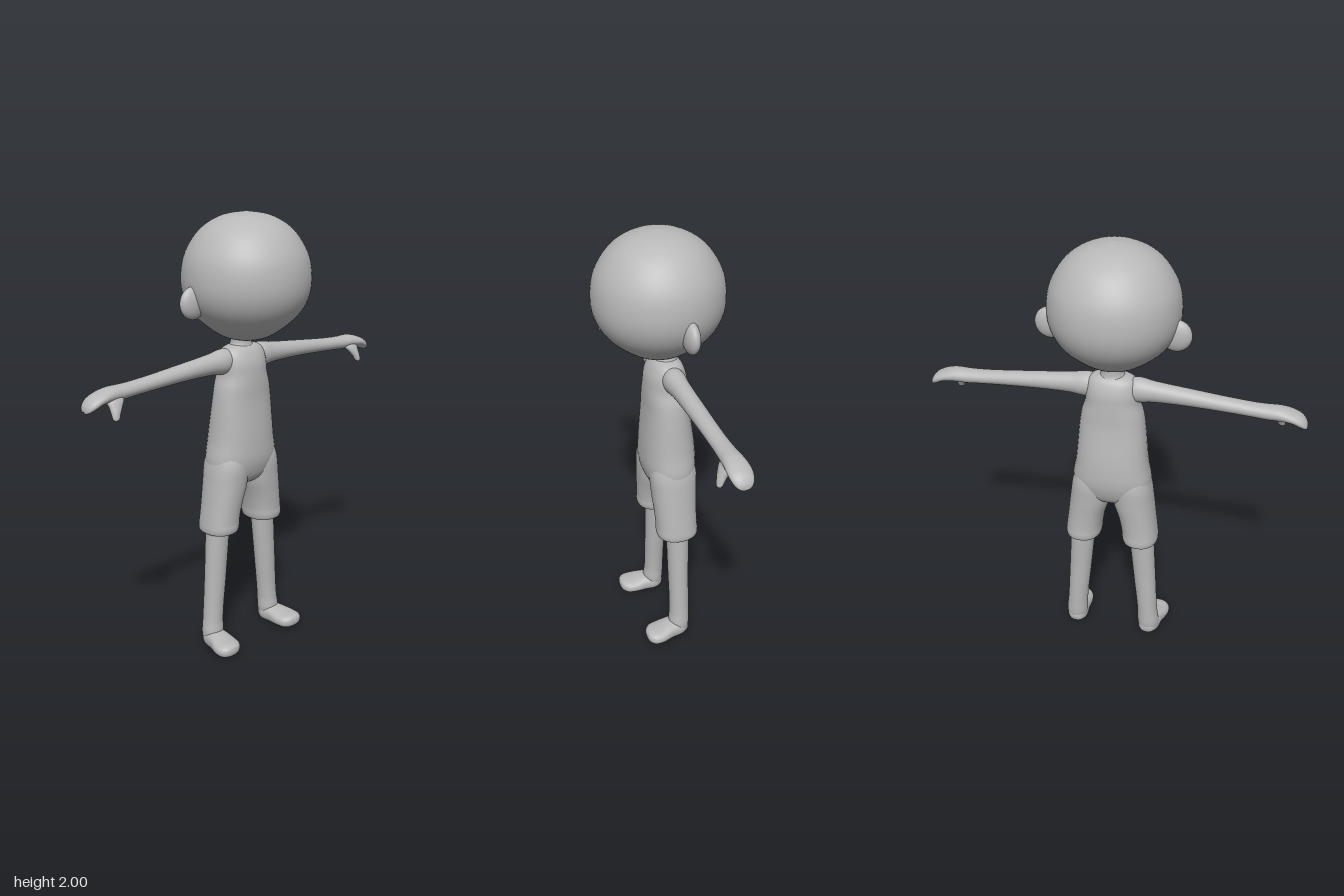
import * as THREE from 'three';

const clay = new THREE.MeshStandardMaterial({ color: 0xb8b8b8 });
clay.name = 'grey clay';

// Smooth closed loft along an axis (0 = x, 1 = y, 2 = z).
// Sections, in increasing axis order: [x, y, z, radius on next axis, radius on the one after].
function loft(axis, sections, { side = 1, power = 2, floor = -1, steps = 6, seg = 32 } = {}) {
  const times = [0];
  for (let i = 1; i < sections.length; i++) {
    times.push(times[i - 1] + Math.hypot(...sections[i].map((v, k) => v - sections[i - 1][k])));
  }
  const curve = new THREE.CubicInterpolant(times, sections.flat(), 5);
  const u = (axis + 1) % 3, v = (axis + 2) % 3;
  const bulge = (c) => Math.sign(c) * Math.abs(c) ** (2 / power);
  const pos = [], index = [], rings = (sections.length - 1) * steps;
  for (let i = 0; i <= rings; i++) {
    const k = Math.min(Math.floor(i / steps), sections.length - 2);
    const s = Array.from(curve.evaluate(THREE.MathUtils.lerp(times[k], times[k + 1], i / steps - k)));
    for (let j = 0; j < seg; j++) {
      const a = (j / seg) * Math.PI * 2, p = s.slice(0, 3);
      p[u] += Math.max(s[3], 0.0005) * bulge(Math.cos(a));
      p[v] += Math.max(s[4], 0.0005) * bulge(Math.sin(a));
      pos.push(p[0] * side, Math.max(p[1], floor), p[2]);
      if (i === rings) continue;
      const A = i * seg + j, B = i * seg + (j + 1) % seg, C = A + seg, D = B + seg;
      if (side > 0) index.push(A, B, C, B, D, C);
      else index.push(A, C, B, B, C, D);
    }
  }
  const g = new THREE.BufferGeometry();
  g.setAttribute('position', new THREE.Float32BufferAttribute(pos, 3));
  g.setIndex(index);
  g.computeVertexNormals();
  return g;
}

export function createModel() {
  const model = new THREE.Group();
  model.name = 'figure';
  const add = (name, geometry, parent = model) => {
    const mesh = new THREE.Mesh(geometry, clay);
    mesh.name = name;
    parent.add(mesh);
    return mesh;
  };

  // Round head, slightly flattened towards the chin
  const profile = new THREE.SplineCurve([
    [0, 1.45], [0.06, 1.457], [0.13, 1.485], [0.222, 1.56], [0.27, 1.64], [0.282, 1.73],
    [0.262, 1.83], [0.198, 1.925], [0.105, 1.982], [0, 2],
  ].map(([r, y]) => new THREE.Vector2(r, y))).getPoints(48);
  profile.forEach((p) => { p.x = Math.max(p.x, 0); });
  add('head', new THREE.LatheGeometry(profile, 64));

  add('neck', loft(1, [
    [0, 1.37, -0.035, 0.06, 0.085], [0, 1.41, -0.035, 0.054, 0.07],
    [0, 1.435, -0.035, 0.045, 0.05], [0, 1.49, -0.035, 0.045, 0.052],
  ]));

  // Torso, running down into the hips
  add('torso', loft(1, [
    [0, 0.775, -0.037, 0, 0], [0, 0.79, -0.037, 0.055, 0.09], [0, 0.83, -0.037, 0.095, 0.165],
    [0, 0.9, -0.038, 0.116, 0.18], [0, 1.0, -0.038, 0.117, 0.165], [0, 1.2, -0.031, 0.097, 0.145],
    [0, 1.25, -0.03, 0.095, 0.136], [0, 1.3, -0.03, 0.092, 0.121], [0, 1.36, -0.031, 0.085, 0.117],
    [0, 1.405, -0.033, 0.066, 0.105], [0, 1.425, -0.034, 0.045, 0.075], [0, 1.43, -0.034, 0, 0],
  ], { power: 2.3 }));

  for (const side of [1, -1]) {
    const prefix = side > 0 ? 'left' : 'right';
    const limb = (name, axis, sections, options) => add(prefix + name, loft(axis, sections, { side, ...options }));

    // Ear
    const ear = add(prefix + 'Ear', new THREE.SphereGeometry(1, 32, 20));
    ear.scale.set(0.068, 0.07, 0.033);
    ear.position.set(0.267 * side, 1.638, -0.038);

    // Arm and hand in one sweep
    limb('Arm', 0, [
      [0.04, 1.365, -0.032, 0.04, 0.04], [0.11, 1.364, -0.032, 0.056, 0.05],
      [0.18, 1.362, -0.032, 0.047, 0.044], [0.33, 1.354, -0.032, 0.038, 0.04],
      [0.6, 1.335, -0.032, 0.031, 0.038], [0.66, 1.332, -0.032, 0.032, 0.041],
      [0.72, 1.332, -0.031, 0.031, 0.046], [0.77, 1.324, -0.03, 0.026, 0.05],
      [0.81, 1.306, -0.03, 0.025, 0.044], [0.83, 1.291, -0.03, 0.016, 0.028],
      [0.836, 1.284, -0.03, 0, 0],
    ]);
    limb('Thumb', 1, [
      [0.727, 1.236, 0.031, 0, 0], [0.726, 1.243, 0.029, 0.011, 0.013],
      [0.721, 1.265, 0.021, 0.017, 0.02], [0.712, 1.29, 0.009, 0.021, 0.03],
      [0.705, 1.315, -0.008, 0.025, 0.042], [0.7, 1.345, -0.025, 0.015, 0.03],
    ]);

    // Short trouser leg with a turned-in hem
    limb('ShortsLeg', 1, [
      [0.136, 0.59, -0.043, 0.05, 0.05], [0.136, 0.574, -0.043, 0.08, 0.07],
      [0.136, 0.578, -0.042, 0.092, 0.08], [0.135, 0.595, -0.041, 0.097, 0.084],
      [0.132, 0.63, -0.04, 0.096, 0.084], [0.121, 0.7, -0.038, 0.098, 0.086],
      [0.1, 0.8, -0.037, 0.104, 0.095], [0.088, 0.9, -0.037, 0.105, 0.092],
      [0.07, 1.02, -0.037, 0.07, 0.07],
    ], { power: 2.2 });

    // Bare lower leg
    limb('Shin', 1, [
      [0.183, 0.02, -0.04, 0.04, 0.045], [0.182, 0.07, -0.038, 0.049, 0.052],
      [0.178, 0.13, -0.041, 0.047, 0.049], [0.16, 0.35, -0.041, 0.048, 0.053],
      [0.143, 0.57, -0.042, 0.052, 0.057], [0.138, 0.64, -0.042, 0.052, 0.057],
    ]);

    // Foot, turned slightly outwards, flat underneath
    limb('Foot', 2, [
      [0.182, 0.04, -0.087, 0, 0], [0.182, 0.04, -0.077, 0.03, 0.028],
      [0.183, 0.04, -0.045, 0.05, 0.042], [0.189, 0.04, 0.01, 0.056, 0.042],
      [0.198, 0.036, 0.07, 0.066, 0.034], [0.201, 0.035, 0.105, 0.06, 0.032],
      [0.203, 0.036, 0.128, 0.038, 0.022], [0.203, 0.036, 0.136, 0, 0],
    ], { power: 2.4, floor: 0.004 });
  }
  return model;
}
